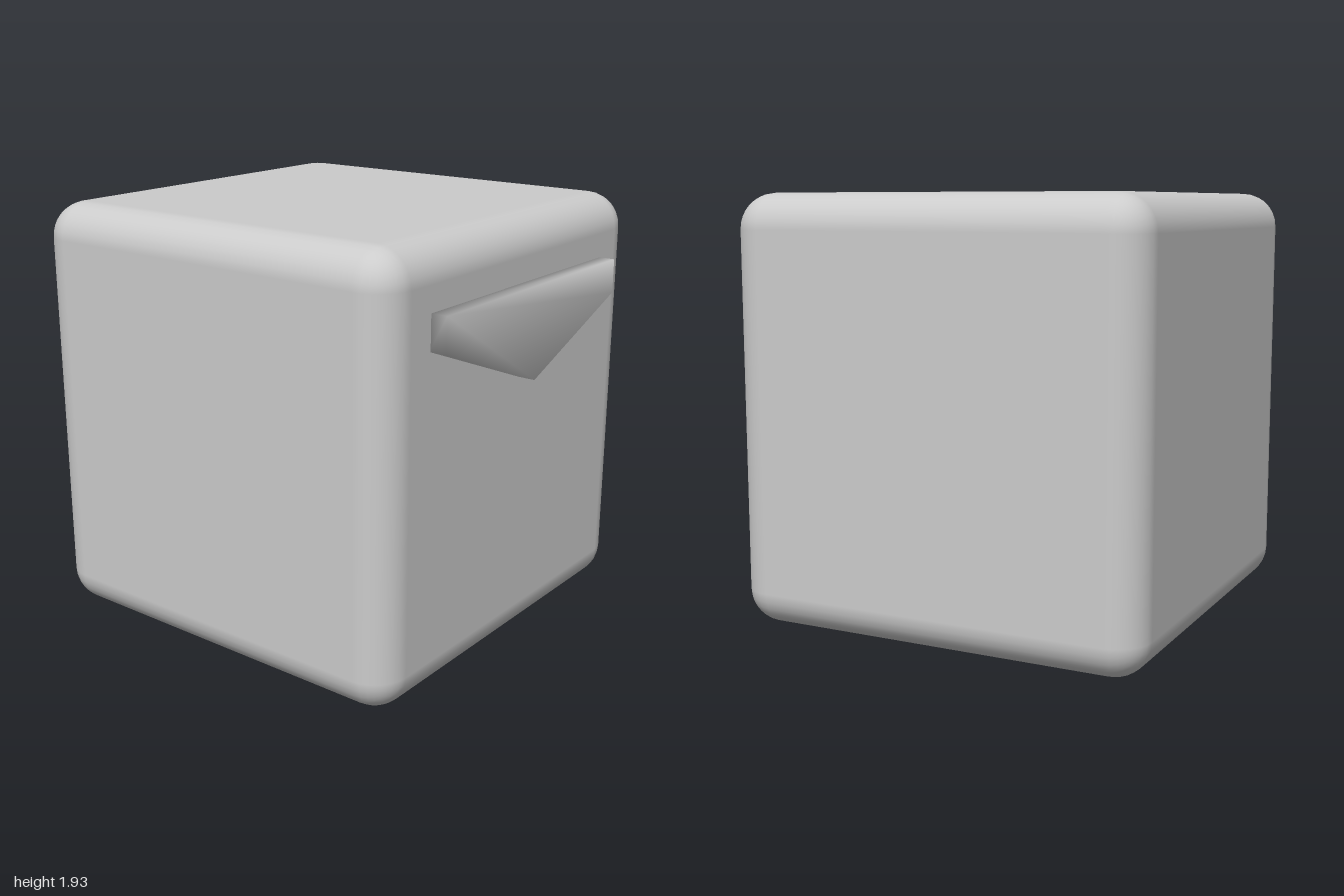
import * as THREE from 'three';
import { RoundedBoxGeometry } from 'three/addons/geometries/RoundedBoxGeometry.js';
import { mergeVertices } from 'three/addons/utils/BufferGeometryUtils.js';

export function createModel() {
  const group = new THREE.Group();
  group.name = 'roundedCubeWithPlate';
  const material = new THREE.MeshStandardMaterial({ color: 0xcccccc });

  // Cube body with soft edges
  const size = 1.926;
  const body = new THREE.Mesh(new RoundedBoxGeometry(size, size, size, 4, 0.16), material);
  body.name = 'body';
  body.position.set(0, size / 2, -0.037);
  group.add(body);

  // Pointed plate on the front face, shaded smoothly across its edges
  const outline = new THREE.Shape([
    [-0.672, 1.655], [-0.672, 1.502], [0, 1.245], [0.672, 1.502], [0.672, 1.655],
  ].map(([x, y]) => new THREE.Vector2(x, y)));
  const back = 0.92;
  let geometry = new THREE.ExtrudeGeometry(outline, { depth: 1 - back, bevelEnabled: false });
  geometry.deleteAttribute('normal');
  geometry.deleteAttribute('uv');
  geometry = mergeVertices(geometry);
  geometry.computeVertexNormals();
  const plate = new THREE.Mesh(geometry, material);
  plate.name = 'frontPlate';
  plate.position.z = back;
  group.add(plate);

  return group;
}
